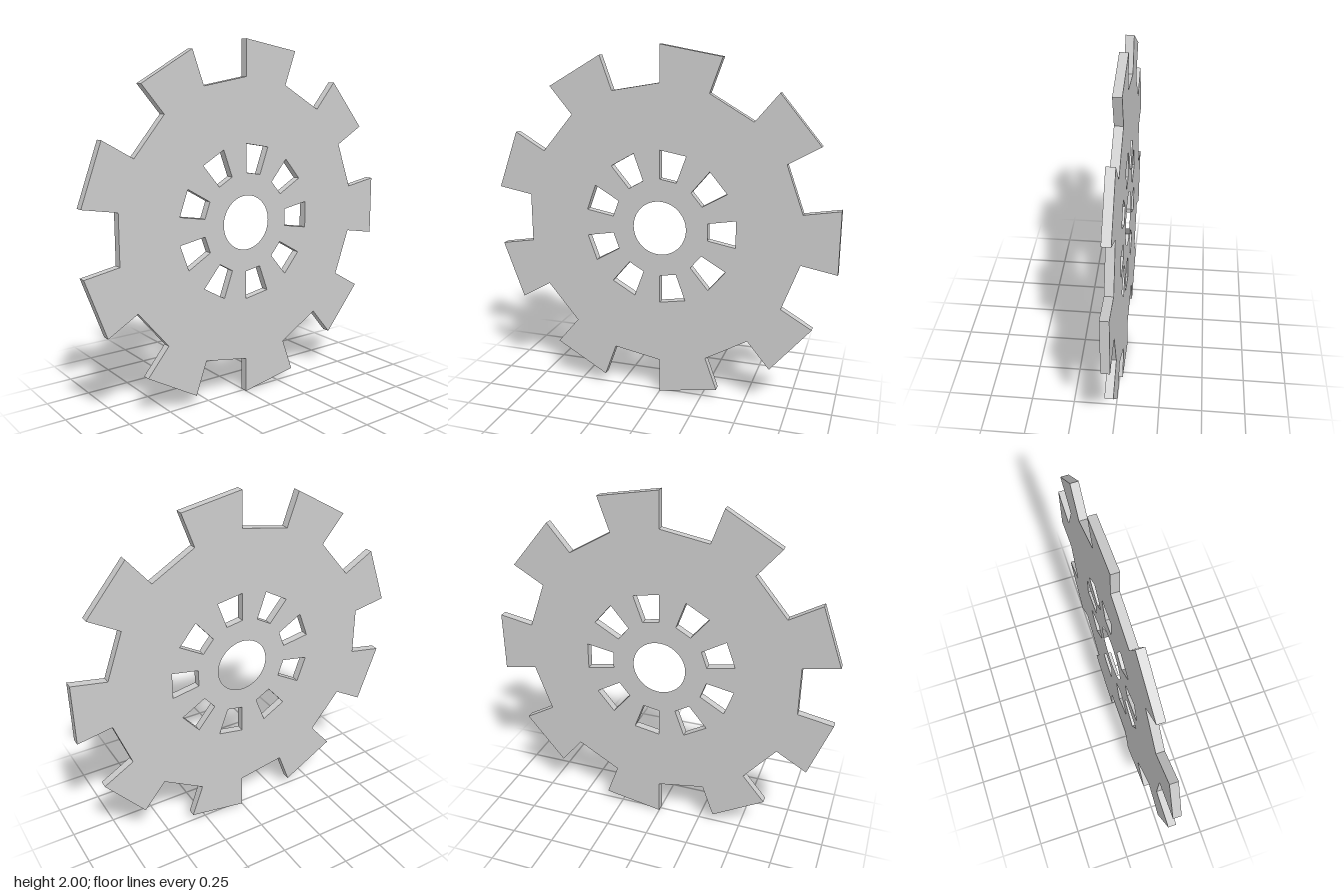
import * as THREE from 'three';

const TEETH = 9;
const STEP = Math.PI / TEETH; // each tooth and each gap spans one step
const THICKNESS = 0.046;

// Point on a circle, angle measured clockwise from the top
const polar = (r, a) => new THREE.Vector2(r * Math.sin(a), r * Math.cos(a));

export function createModel() {
  const group = new THREE.Group();
  group.name = 'toothedWheel';

  const outline = [];
  const windows = [];
  for (let i = 0; i < TEETH; i++) {
    const a = 2 * i * STEP;
    const b = a + STEP;
    // Tooth from root to tip and back; straight chords join the teeth
    outline.push(polar(0.8, a), polar(1, a), polar(1, b), polar(0.8, b));
    // Four-sided window in line with the tooth
    windows.push(new THREE.Path([polar(0.28, a), polar(0.28, b), polar(0.44, b), polar(0.44, a)]));
  }

  // Round bore in the middle
  const bore = new THREE.Path();
  bore.absarc(0, 0, 0.153, 0, Math.PI * 2, true);

  const shape = new THREE.Shape(outline);
  shape.holes.push(bore, ...windows);

  const geometry = new THREE.ExtrudeGeometry(shape, {
    depth: THICKNESS, bevelEnabled: false, curveSegments: 32,
  });
  geometry.translate(0, 1, -THICKNESS / 2);

  const disc = new THREE.Mesh(geometry, new THREE.MeshStandardMaterial({ color: 0xcccccc }));
  disc.name = 'toothedDisc';
  group.add(disc);
  return group;
}
